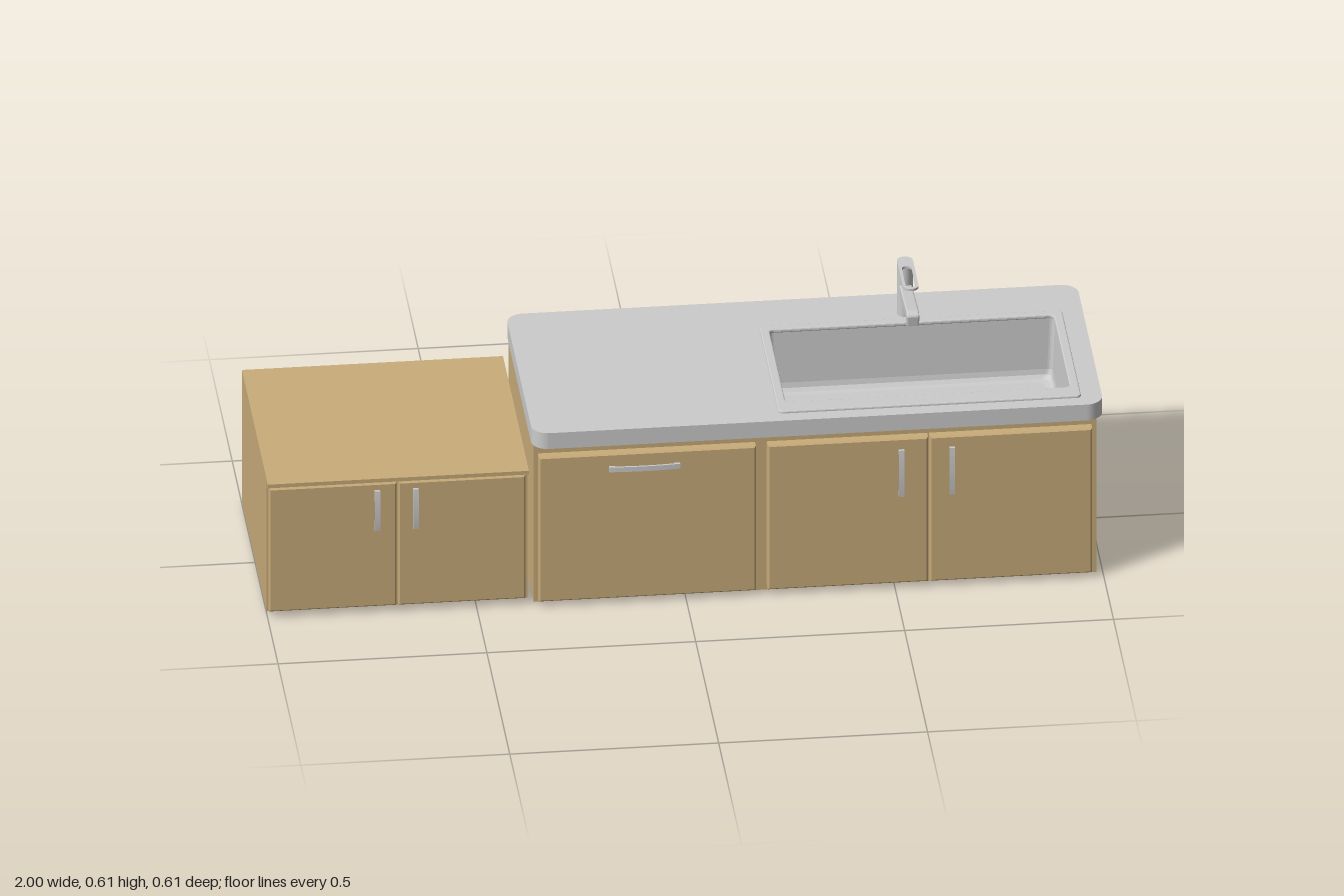
import * as THREE from 'three';

const wood = new THREE.MeshStandardMaterial({ color: 0xc9ac7a });
const grey = new THREE.MeshStandardMaterial({ color: 0xcccccc });
const greyThin = new THREE.MeshStandardMaterial({ color: 0xcccccc, side: THREE.DoubleSide });

function add(parent, name, geometry, material) {
  const mesh = new THREE.Mesh(geometry, material);
  mesh.name = name;
  parent.add(mesh);
  return mesh;
}

// Box given by its limits on each axis
function box(parent, name, x0, x1, y0, y1, z0, z1, material = wood) {
  const m = add(parent, name, new THREE.BoxGeometry(x1 - x0, y1 - y0, z1 - z0), material);
  m.position.set((x0 + x1) / 2, (y0 + y1) / 2, (z0 + z1) / 2);
  return m;
}

// Rounded rectangle outline, on a Shape or Path
function roundRect(p, x0, x1, y0, y1, r) {
  p.moveTo(x0 + r, y0);
  p.lineTo(x1 - r, y0);
  p.absarc(x1 - r, y0 + r, r, -Math.PI / 2, 0);
  p.lineTo(x1, y1 - r);
  p.absarc(x1 - r, y1 - r, r, 0, Math.PI / 2);
  p.lineTo(x0 + r, y1);
  p.absarc(x0 + r, y1 - r, r, Math.PI / 2, Math.PI);
  p.lineTo(x0, y0 + r);
  p.absarc(x0 + r, y0 + r, r, Math.PI, Math.PI * 1.5);
  return p;
}

// Horizontal slab from a plan shape (x, z), its top at the given height
function slab(shape, top, depth, bevel = 0) {
  const g = new THREE.ExtrudeGeometry(shape, {
    depth: depth - 2 * bevel, curveSegments: 10, bevelEnabled: bevel > 0,
    bevelThickness: bevel, bevelSize: bevel, bevelOffset: -bevel, bevelSegments: 2,
  });
  return g.rotateX(Math.PI / 2).translate(0, top - bevel, 0);
}

// Door slab with a chamfered edge
function door(parent, x0, x1, y0, y1, z0, z1) {
  const b = 0.004;
  const shape = new THREE.Shape([[x0, y0], [x1, y0], [x1, y1], [x0, y1]].map(p => new THREE.Vector2(...p)));
  const g = new THREE.ExtrudeGeometry(shape, {
    depth: z1 - z0 - 2 * b, bevelThickness: b, bevelSize: b, bevelOffset: -b, bevelSegments: 1,
  });
  add(parent, 'door', g.translate(0, 0, z0 + b), wood);
}

// Bowed bar handle, centred at (x, y) on the plane z
function handle(parent, x, y, z, length, horizontal = false) {
  const h = length / 2, foot = 0.014, s = new THREE.Shape();
  s.moveTo(-h, 0);
  s.lineTo(-h, 0.007);
  s.quadraticCurveTo(0, 0.014, h, 0.007);
  s.lineTo(h, 0);
  s.lineTo(h - foot, 0);
  s.lineTo(h - foot, 0.003);
  s.quadraticCurveTo(0, 0.009, -h + foot, 0.003);
  s.lineTo(-h + foot, 0);
  const g = new THREE.ExtrudeGeometry(s, { depth: 0.013, bevelEnabled: false, curveSegments: 12 });
  g.translate(0, 0, -0.0065).rotateX(Math.PI / 2);
  const m = add(parent, 'handle', g, grey);
  if (!horizontal) m.rotation.z = Math.PI / 2;
  m.position.set(x, y, z);
}

// Open-topped carcass made of panels
function carcass(parent, x0, x1, y0, y1, z0, z1) {
  const t = 0.012;
  box(parent, 'bottomPanel', x0, x1, y0, y0 + t, z0, z1);
  box(parent, 'backPanel', x0, x1, y0 + t, y1, z0, z0 + t);
  box(parent, 'frontPanel', x0, x1, y0 + t, y1, z1 - t, z1);
  for (const x of [x0, x1 - t]) box(parent, 'sidePanel', x, x + t, y0 + t, y1, z0 + t, z1 - t);
}

// Basin lofted through rounded rectangles: [inset, height, corner radius]
function basinGeometry(x0, x1, z0, z1, rings) {
  const pos = [], index = [];
  let n = 0;
  rings.forEach(([d, y, r]) => {
    const path = roundRect(new THREE.Path(), x0 + d, x1 - d, z0 + d, z1 - d, r);
    const pts = path.curves.flatMap(c => c.getPoints(c.isLineCurve ? 1 : 5));
    n = pts.length;
    pts.forEach(p => pos.push(p.x, y, p.y));
  });
  for (let i = 0; i < rings.length - 1; i++) {
    for (let j = 0; j < n; j++) {
      const a = i * n + j, b = i * n + (j + 1) % n;
      index.push(a, b, a + n, b, b + n, a + n);
    }
  }
  const last = (rings.length - 1) * n;
  for (let j = 1; j < n - 1; j++) index.push(last, last + j + 1, last + j);
  const g = new THREE.BufferGeometry();
  g.setAttribute('position', new THREE.Float32BufferAttribute(pos, 3));
  g.setIndex(index);
  const flat = g.toNonIndexed();
  flat.computeVertexNormals();
  return flat;
}

function faucet() {
  const g = new THREE.Group();
  g.name = 'faucet';
  const x = 0.578, z = -0.204;
  add(g, 'column', new THREE.CylinderGeometry(0.019, 0.019, 0.186, 32), grey).position.set(x, 0.523, z);

  // Spout: side profile (forward, up) with a downturned outlet
  const s = new THREE.Shape();
  s.moveTo(-0.2, 0.535);
  s.lineTo(-0.2, 0.557);
  s.lineTo(-0.05, 0.57);
  s.quadraticCurveTo(-0.027, 0.571, -0.025, 0.56);
  s.lineTo(-0.028, 0.535);
  s.lineTo(-0.051, 0.535);
  s.lineTo(-0.052, 0.546);
  const spout = new THREE.ExtrudeGeometry(s, {
    depth: 0.022, bevelThickness: 0.004, bevelSize: 0.003, bevelOffset: -0.003, bevelSegments: 3,
  });
  spout.translate(0, 0, -0.011).rotateY(-Math.PI / 2);
  add(g, 'spout', spout, grey).position.x = x;

  // Flat loop lever on top
  const loop = roundRect(new THREE.Shape(), x - 0.019, x + 0.019, -0.223, -0.063, 0.0185);
  loop.holes.push(roundRect(new THREE.Path(), x - 0.012, x + 0.012, -0.175, -0.072, 0.0115));
  add(g, 'lever', slab(loop, 0.617, 0.006), grey);
  return g;
}

export function createModel() {
  const model = new THREE.Group();

  // Low side cabinet
  const side = new THREE.Group();
  side.name = 'sideCabinet';
  carcass(side, -1, -0.375, 0.008, 0.358, -0.288, 0.25);
  box(side, 'top', -1, -0.375, 0.358, 0.368, -0.288, 0.278);
  door(side, -0.997, -0.691, 0.02, 0.355, 0.252, 0.277);
  door(side, -0.687, -0.383, 0.02, 0.355, 0.252, 0.277);
  for (const x of [-0.738, -0.646]) handle(side, x, 0.283, 0.277, 0.108);

  // Main cabinet with one wide drop front and a pair of doors
  const main = new THREE.Group();
  main.name = 'mainCabinet';
  carcass(main, -0.362, 0.985, 0.003, 0.43, -0.288, 0.264);
  for (const [x0, x1] of [[-0.353, 0.167], [0.195, 0.579], [0.583, 0.972]]) {
    door(main, x0, x1, 0.017, 0.41, 0.267, 0.293);
  }
  for (const x of [0.515, 0.636]) handle(main, x, 0.318, 0.293, 0.126);
  handle(main, -0.1, 0.371, 0.293, 0.17, true);

  // Countertop with the sink cut-out
  const counter = roundRect(new THREE.Shape(), -0.367, 1, -0.302, 0.288, 0.04);
  counter.holes.push(roundRect(new THREE.Path(), 0.243, 0.932, -0.152, 0.212, 0.012));
  add(model, 'countertop', slab(counter, 0.473, 0.043), grey);

  // Sink: raised rim, basin, drain
  const sink = new THREE.Group();
  sink.name = 'sink';
  const outer = (d, p) => roundRect(p, 0.225 + d, 0.95 - d, -0.17 + d, 0.253 - d, 0.012);
  const rim = outer(0, new THREE.Shape());
  rim.holes.push(roundRect(new THREE.Path(), 0.247, 0.928, -0.148, 0.206, 0.012));
  add(sink, 'rim', slab(rim, 0.479, 0.01, 0.003), grey);
  add(sink, 'basin', basinGeometry(0.245, 0.93, -0.15, 0.208, [
    [0, 0.474, 0.012], [0.006, 0.335, 0.012], [0.009, 0.322, 0.014], [0.017, 0.314, 0.016], [0.028, 0.312, 0.018],
  ]), greyThin);
  const drain = add(sink, 'drain', new THREE.CylinderGeometry(0.04, 0.045, 0.006, 32), grey);
  drain.position.set(0.57, 0.314, -0.035);
  const plug = add(sink, 'drainPlug', new THREE.CylinderGeometry(0.02, 0.022, 0.006, 24), grey);
  plug.position.set(0.57, 0.319, -0.035);

  model.add(side, main, sink, faucet());
  return model;
}
